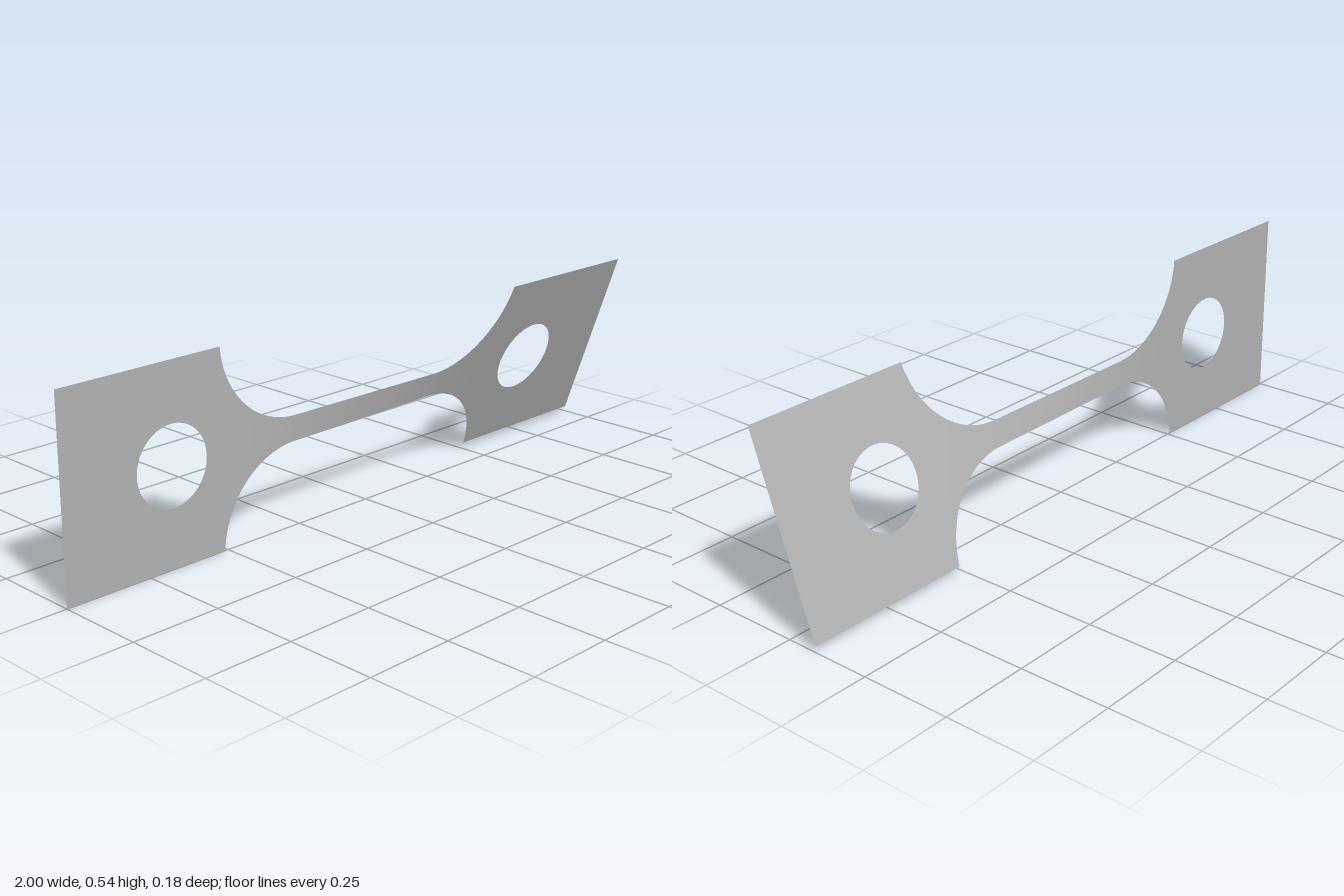
import * as THREE from 'three';

const MID_Y = 0.271;        // height of the long axis
const HALF = 0.27;          // half height of the grips
const NECK = 0.036;         // half height of the slender bar
const R = 0.25;             // fillet radius
const FILLET_X = 0.26;      // where the fillets begin
const GRIP_X = FILLET_X + Math.sqrt(R * R - (NECK + R - HALF) ** 2);
const HOLE_X = 0.67, HOLE_R = 0.109;
const TWIST = THREE.MathUtils.degToRad(19.4);

// Half height of the outline at x, between the grips
function halfHeight(x) {
  const d = Math.max(0, Math.abs(x) - FILLET_X);
  return NECK + R - Math.sqrt(Math.max(0, R * R - d * d));
}

// Columns along the neck: dense where the fillets get steep
function neckColumns() {
  const end = Math.asin((GRIP_X - FILLET_X) / R), arc = [], xs = [];
  for (let i = 0; i <= 32; i++) arc.push(FILLET_X + R * Math.sin(end * i / 32));
  for (let i = 32; i > 0; i--) xs.push(-arc[i]);
  for (let i = 0; i < 40; i++) xs.push(-FILLET_X + 2 * FILLET_X * i / 40);
  return xs.concat(arc);
}

// Turn a flat point about the long axis
function place(pos, i, x, h, angle) {
  pos.setXYZ(i, x, MID_Y + h * Math.cos(angle), h * Math.sin(angle));
}

// Slender bar with fillets; it twists fastest where it is narrowest
function neckGeometry() {
  const xs = neckColumns(), n = xs.length, rows = 8;
  const turn = [0];
  for (let i = 1; i < n; i++) {
    turn.push(turn[i - 1] + (xs[i] - xs[i - 1]) / halfHeight((xs[i] + xs[i - 1]) / 2));
  }
  const geo = new THREE.PlaneGeometry(1, 2, n - 1, rows);
  const pos = geo.attributes.position;
  for (let i = 0; i < pos.count; i++) {
    const c = i % n;
    place(pos, i, xs[c], pos.getY(i) * halfHeight(xs[c]), TWIST * turn[c] / turn[n - 1]);
  }
  geo.computeVertexNormals();
  return geo;
}

// Flat grip with a round hole
function gripGeometry(side, angle) {
  const a = Math.min(side * GRIP_X, side), b = Math.max(side * GRIP_X, side);
  const shape = new THREE.Shape();
  shape.moveTo(a, -HALF).lineTo(b, -HALF).lineTo(b, HALF).lineTo(a, HALF).closePath();
  shape.holes.push(new THREE.Path().absarc(side * HOLE_X, 0, HOLE_R, 0, Math.PI * 2, true));
  const geo = new THREE.ShapeGeometry(shape, 32);
  const pos = geo.attributes.position;
  for (let i = 0; i < pos.count; i++) place(pos, i, pos.getX(i), pos.getY(i), angle);
  geo.computeVertexNormals();
  return geo;
}

export function createModel() {
  const group = new THREE.Group();
  group.name = 'twistedTestStrip';
  const steel = new THREE.MeshStandardMaterial({ color: 0xb4b4b4, side: THREE.DoubleSide });
  steel.name = 'plain grey';
  const add = (name, geo) => {
    const mesh = new THREE.Mesh(geo, steel);
    mesh.name = name;
    group.add(mesh);
  };
  add('neck', neckGeometry());
  add('rightGrip', gripGeometry(-1, 0));
  add('leftGrip', gripGeometry(1, TWIST));
  return group;
}
